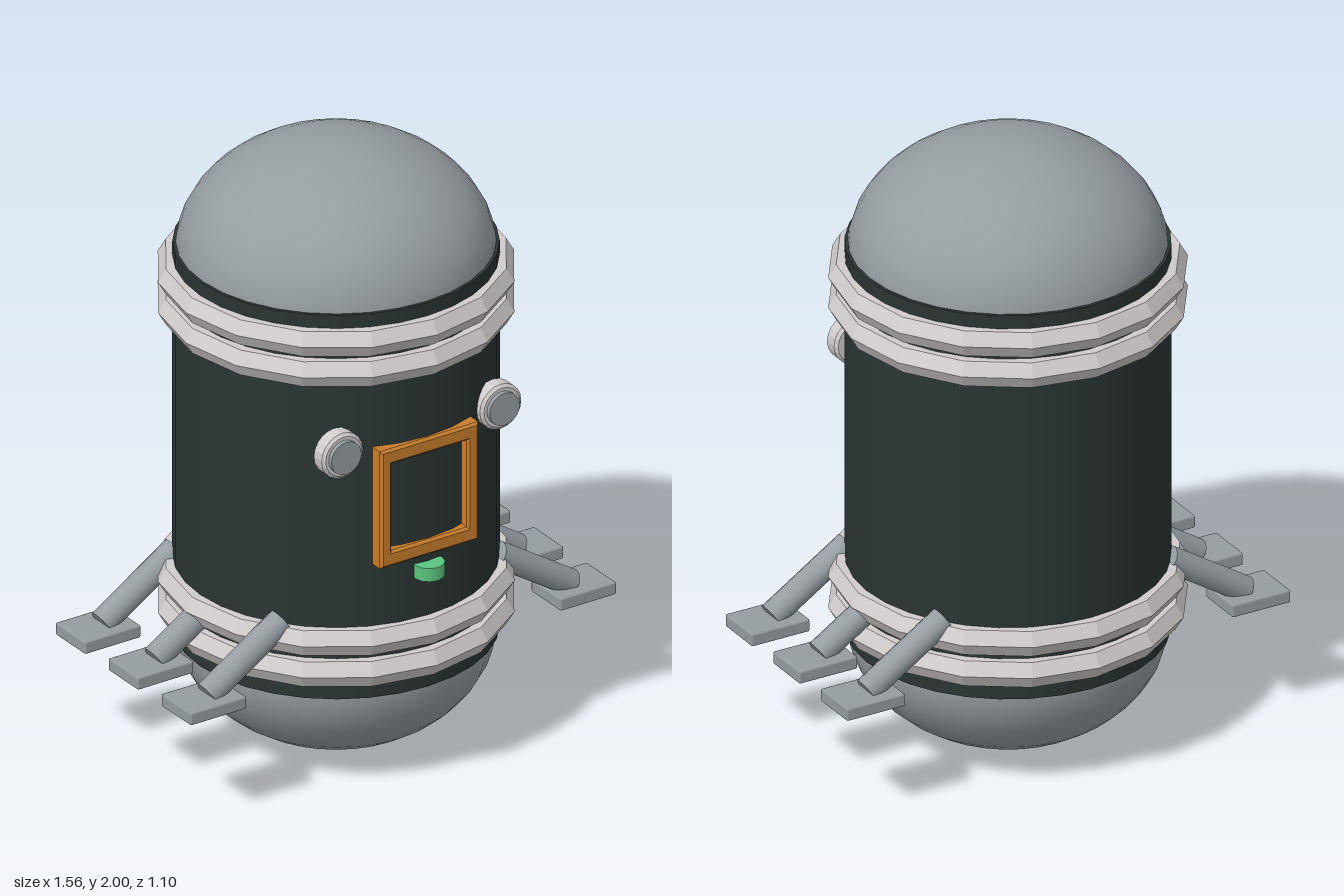
import * as THREE from 'three';
import { RoundedBoxGeometry } from 'three/addons/geometries/RoundedBoxGeometry.js';

function material(name, color) {
  const m = new THREE.MeshStandardMaterial({ color });
  m.name = name;
  return m;
}

export function createModel() {
  const group = new THREE.Group();
  const grey = material('grey metal', 0x959da1);
  const dark = material('dark shell', 0x2a3533);
  const pale = material('pale trim', 0xd0cccb);
  pale.flatShading = true;
  const orange = material('orange frame', 0xc87d2c);
  const green = material('green button', 0x5cc480);

  function add(name, geometry, mat, x = 0, y = 0, z = 0) {
    const mesh = new THREE.Mesh(geometry, mat);
    mesh.name = name;
    mesh.position.set(x, y, z);
    group.add(mesh);
    return mesh;
  }

  // Cylindrical shell
  add('body', new THREE.CylinderGeometry(0.497, 0.497, 1.31, 32), dark, 0, 1.005);

  // Flattened domes at both ends
  for (const s of [1, -1]) {
    const dome = new THREE.SphereGeometry(0.49, 32, 10, 0, Math.PI * 2, 0, Math.PI / 2);
    dome.scale(1, 0.37 / 0.49, 1);
    if (s < 0) dome.rotateX(Math.PI);
    add(s > 0 ? 'topDome' : 'bottomDome', dome, grey, 0, 1 + s * 0.63);
  }

  // Paired hoops, six-sided in section
  for (const y of [1.573, 1.47, 0.552, 0.446]) {
    const hoop = new THREE.TorusGeometry(0.502, 0.049, 6, 16);
    hoop.rotateX(Math.PI / 2);
    add('hoop', hoop, pale, 0, y);
  }

  // Window frame with a square opening onto the shell
  const outline = (P, w, h) => new P()
    .moveTo(-w, -h).lineTo(w, -h).lineTo(w, h).lineTo(-w, h).closePath();
  const frame = outline(THREE.Shape, 0.172, 0.192);
  frame.holes.push(outline(THREE.Path, 0.146, 0.156));
  add('windowFrame', new THREE.ExtrudeGeometry(frame, {
    depth: 0.044, bevelEnabled: true, bevelThickness: 0.008, bevelSize: 0.008, bevelSegments: 1,
  }), orange, 0, 1.005, 0.458);

  // Button below the window
  add('button', new THREE.CylinderGeometry(0.05, 0.05, 0.045, 12), green, 0, 0.757, 0.502);

  // Lamps: bevelled rim lathed around z with a smaller lens in front
  const rimProfile = [[0, -0.06], [0.067, -0.06], [0.076, -0.05], [0.076, -0.008], [0.066, 0], [0, 0]]
    .map(([r, h]) => new THREE.Vector2(r, h));
  for (const s of [1, -1]) {
    const rim = new THREE.LatheGeometry(rimProfile, 20);
    rim.rotateX(Math.PI / 2);
    add('lampRim', rim, pale, s * 0.29, 1.207, 0.47);
    const lens = new THREE.CylinderGeometry(0.055, 0.055, 0.03, 20);
    lens.rotateX(Math.PI / 2);
    add('lampLens', lens, grey, s * 0.29, 1.207, 0.47);
  }

  // Three sloping legs with flat feet on each side
  const up = new THREE.Vector3(0, 1, 0);
  for (const s of [1, -1]) {
    for (const z of [-0.286, 0, 0.286]) {
      const top = new THREE.Vector3(s * 0.395, 0.6, z);
      const bottom = new THREE.Vector3(s * 0.665, 0.425, z);
      const dir = top.clone().sub(bottom);
      const leg = add('leg', new THREE.CylinderGeometry(0.042, 0.042, dir.length(), 16), grey);
      leg.position.copy(top).add(bottom).multiplyScalar(0.5);
      leg.quaternion.setFromUnitVectors(up, dir.normalize());
      add('foot', new RoundedBoxGeometry(0.205, 0.042, 0.162, 1, 0.006), grey, s * 0.678, 0.405, z);
    }
  }
  return group;
}
